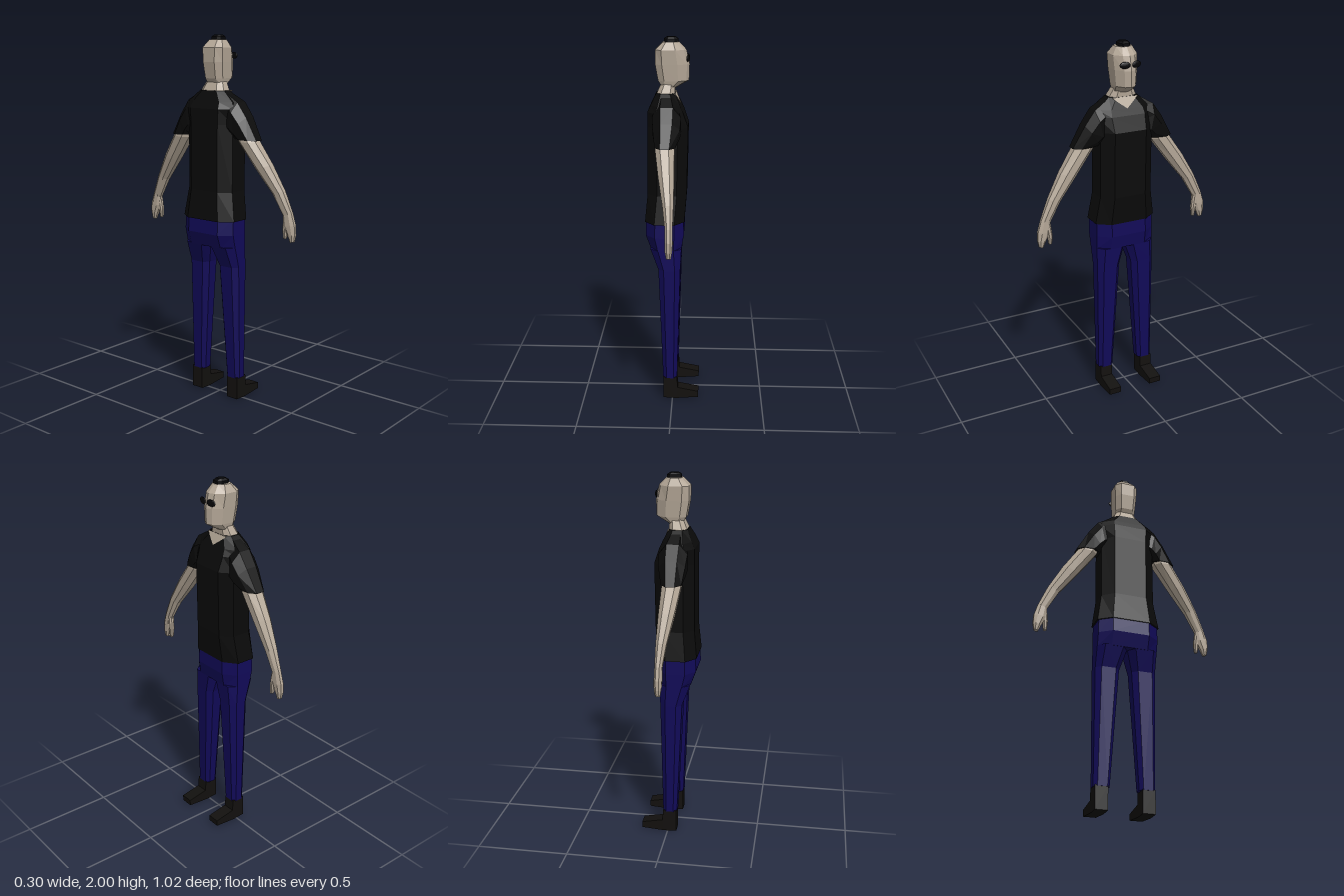
import * as THREE from 'three';
import { ConvexGeometry } from 'three/addons/geometries/ConvexGeometry.js';

const mat = (color) => new THREE.MeshStandardMaterial({ color, flatShading: true });

// Outlines as [across, depth], both 0..1
const chamfered = (a, d) => [[0, d], [0, 1 - d], [a, 1], [1 - a, 1], [1, 1 - d], [1, d], [1 - a, 0], [a, 0]];
const LIMB = chamfered(0.28, 0.28);
const BODY = chamfered(0.2, 0.25);
const SKULL = [[0.2, 0], [0, 0.2], [0, 0.65], [0.25, 0.92], [0.5, 1], [0.75, 0.92], [1, 0.65], [1, 0.2], [0.8, 0]];

// Cross-section between two [y, z] edge points, from x0 (back) to x1 (front)
const section = (outline, x0, x1, p, q) => outline.map(([u, v]) => new THREE.Vector3(
  x0 + (x1 - x0) * v, p[0] + (q[0] - p[0]) * u, p[1] + (q[1] - p[1]) * u));

// Level section, symmetric in z
const level = (outline, y, x0, x1, w) => section(outline, x0, x1, [y, -w], [y, w]);

// Closed skin over a list of sections, always wound outward
function loft(rings) {
  const tris = [];
  const n = rings[0].length;
  for (let i = 0; i < rings.length - 1; i++) {
    for (let j = 0; j < n; j++) {
      const k = (j + 1) % n, A = rings[i], B = rings[i + 1];
      tris.push([A[j], A[k], B[k]], [A[j], B[k], B[j]]);
    }
  }
  const cap = (ring, flip) => {
    const c = new THREE.Vector3();
    ring.forEach((p) => c.addScaledVector(p, 1 / n));
    ring.forEach((p, j) => {
      const q = ring[(j + 1) % n];
      tris.push(flip ? [c, q, p] : [c, p, q]);
    });
  };
  cap(rings[0], true);
  cap(rings[rings.length - 1], false);
  let volume = 0;
  const cross = new THREE.Vector3();
  for (const [a, b, c] of tris) volume += a.dot(cross.crossVectors(b, c));
  if (volume < 0) tris.forEach((t) => t.reverse());
  const geo = new THREE.BufferGeometry().setFromPoints(tris.flat());
  geo.computeVertexNormals();
  return geo;
}

export function createModel() {
  const model = new THREE.Group();
  model.name = 'standingMan';
  const skin = mat(0xb3a696), cloth = mat(0x0a0a0a), denim = mat(0x110a58);
  const leather = mat(0x12100e), black = mat(0x060608);
  const add = (name, geo, material) => {
    const mesh = new THREE.Mesh(geo, material);
    mesh.name = name;
    model.add(mesh);
    return mesh;
  };

  // Head, topknot and neck
  add('head', loft([
    level(SKULL, 1.735, -0.055, 0.01, 0.05),
    level(SKULL, 1.775, -0.08, 0.082, 0.058),
    level(SKULL, 1.86, -0.095, 0.085, 0.064),
    level(SKULL, 1.935, -0.095, 0.068, 0.068),
    level(SKULL, 1.975, -0.055, 0.03, 0.045),
  ]), skin);
  add('topknot', loft([
    level(BODY, 1.965, -0.05, 0.025, 0.03),
    level(BODY, 1.99, -0.05, 0.025, 0.03),
    level(BODY, 2.0, -0.035, 0.01, 0.02),
  ]), black);
  add('neck', loft([
    level(BODY, 1.69, -0.088, 0.01, 0.08),
    level(BODY, 1.715, -0.085, 0.008, 0.076),
    level(BODY, 1.77, -0.06, 0.01, 0.048),
  ]), skin);
  add('neckline', new ConvexGeometry([
    new THREE.Vector3(0.012, 1.712, 0.076), new THREE.Vector3(0.012, 1.712, -0.076),
    new THREE.Vector3(0.04, 1.655, 0), new THREE.Vector3(-0.05, 1.69, 0),
  ]), skin);

  // Shirt body
  add('shirt', loft([
    level(BODY, 1.025, -0.15, 0.062, 0.176),
    level(BODY, 1.18, -0.135, 0.074, 0.152),
    level(BODY, 1.54, -0.133, 0.08, 0.152),
    level(BODY, 1.62, -0.133, 0.052, 0.16),
    level(BODY, 1.655, -0.117, 0.036, 0.15),
    level(BODY, 1.712, -0.09, 0.01, 0.082),
  ]), cloth);

  // Hips
  add('hips', loft([
    level(BODY, 1.04, -0.143, 0.058, 0.168),
    level(BODY, 0.95, -0.147, 0.06, 0.17),
    level(BODY, 0.875, -0.12, 0.048, 0.17),
  ]), denim);

  // Shoe side profile, toe toward +x
  const shoeShape = new THREE.Shape([
    [-0.05, 0.13], [-0.05, 0.004], [0.02, 0], [0.145, 0.01], [0.146, 0.044], [0.03, 0.066], [0.025, 0.13],
  ].map(([x, y]) => new THREE.Vector2(x, y)));

  for (const s of [1, -1]) {
    const side = s > 0 ? 'left' : 'right';
    const name = (part) => side + part;
    const cut = (x0, x1, p, q, outline = LIMB) =>
      section(outline, x0, x1, [p[0], p[1] * s], [q[0], q[1] * s]);

    // Sunglass lens, turned slightly outward
    const lens = add(name('Lens'), new THREE.SphereGeometry(1, 12, 8), black);
    lens.scale.set(0.007, 0.018, 0.029);
    lens.position.set(0.077, 1.892, s * 0.033);
    lens.rotation.y = -s * 0.2;

    // Sleeve, from inside the shoulder down to the cuff
    add(name('Sleeve'), loft([
      cut(-0.09, 0.015, [1.5, 0.07], [1.708, 0.08]),
      cut(-0.105, 0.045, [1.47, 0.13], [1.655, 0.17]),
      cut(-0.1, 0.04, [1.465, 0.145], [1.58, 0.225]),
      cut(-0.088, 0.018, [1.465, 0.158], [1.462, 0.292]),
    ]), cloth);

    // Arm
    add(name('Arm'), loft([
      cut(-0.08, 0.01, [1.49, 0.165], [1.49, 0.262]),
      cut(-0.085, 0.014, [1.45, 0.175], [1.455, 0.285]),
      cut(-0.065, 0.016, [1.31, 0.28], [1.34, 0.365]),
      cut(-0.04, 0.016, [1.19, 0.375], [1.21, 0.44]),
      cut(-0.025, 0.013, [1.08, 0.438], [1.1, 0.488]),
    ]), skin);

    // Hand and thumb
    add(name('Hand'), loft([
      cut(-0.025, 0.013, [1.08, 0.436], [1.1, 0.488]),
      cut(-0.026, 0.014, [1.03, 0.44], [1.035, 0.508]),
      cut(-0.024, 0.012, [0.98, 0.465], [0.985, 0.51]),
      cut(-0.018, 0.006, [0.945, 0.48], [0.95, 0.503]),
    ]), skin);
    add(name('Thumb'), loft([
      cut(-0.02, 0.012, [1.075, 0.436], [1.075, 0.47]),
      cut(-0.016, 0.014, [1.01, 0.428], [1.01, 0.457]),
      cut(-0.01, 0.01, [0.96, 0.432], [0.96, 0.45]),
    ]), skin);

    // Trouser leg
    add(name('Leg'), loft([
      cut(-0.12, 0.048, [0.88, 0], [0.88, 0.17], BODY),
      cut(-0.077, 0.042, [0.765, 0.036], [0.765, 0.17], BODY),
      cut(-0.052, 0.026, [0.125, 0.08], [0.125, 0.168], BODY),
    ]), denim);

    // Shoe
    const shoe = new THREE.ExtrudeGeometry(shoeShape, { depth: 0.07, bevelEnabled: false });
    shoe.translate(0, 0, s > 0 ? 0.093 : -0.163);
    add(name('Shoe'), shoe, leather);
  }
  return model;
}
